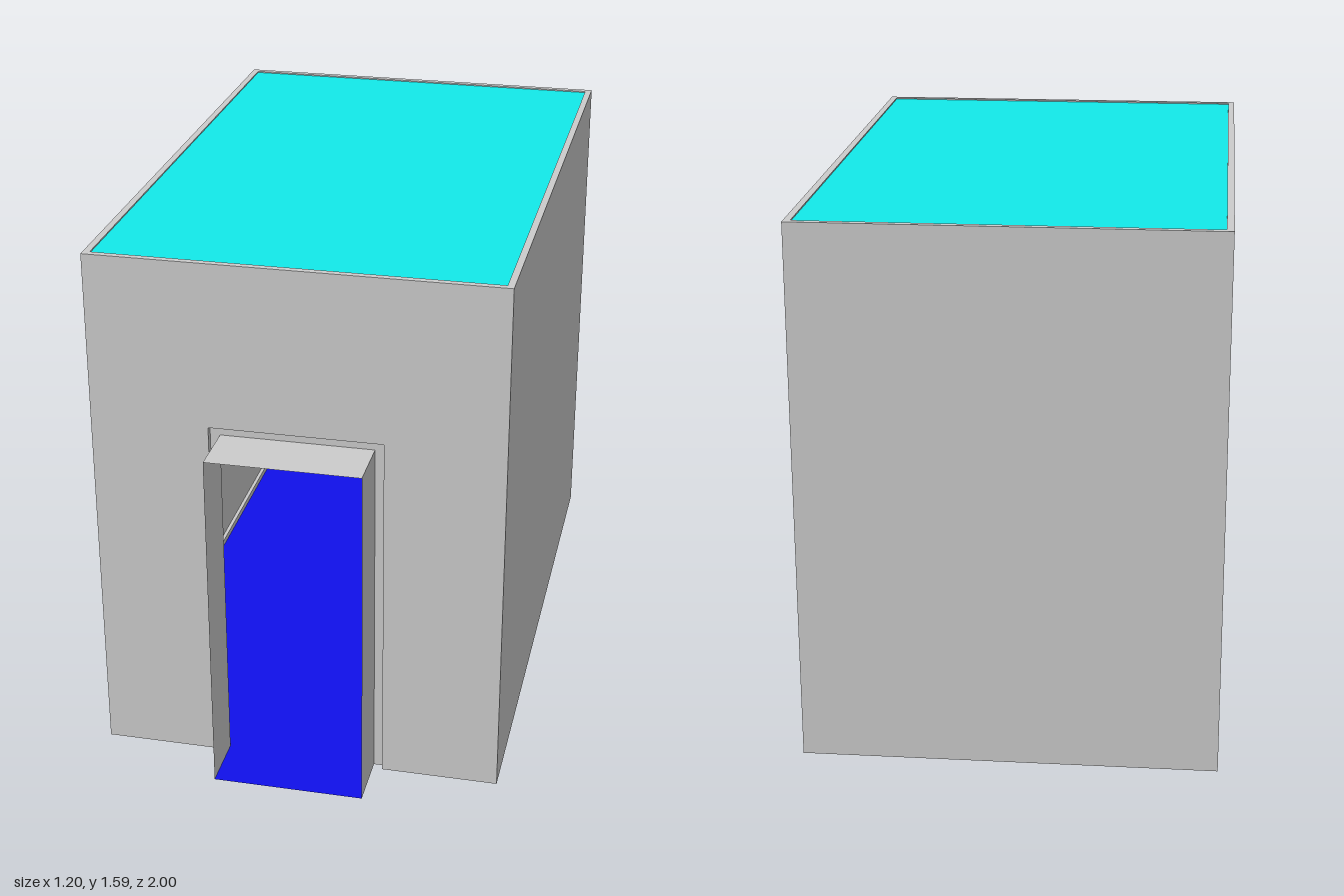
import * as THREE from 'three';

const W = 0.6, H = 1.585, BACK = -1, FRONT = 0.845, T = 0.02; // outer shell and lip thickness
const DOOR = 0.224, DOOR_TOP = 1.06, GAP = 0.029, PORCH = 1;  // doorway and its reveal

const grey = new THREE.MeshStandardMaterial({ color: 0xcccccc, side: THREE.DoubleSide });
const blue = new THREE.MeshStandardMaterial({ color: 0x1010ea, side: THREE.DoubleSide });
const cyan = new THREE.MeshStandardMaterial({ color: 0x12eaea, side: THREE.DoubleSide });

function polygon(points) {
  return new THREE.Shape(points.map(([x, y]) => new THREE.Vector2(x, y)));
}

// Upside-down U around a doorway, as an outline standing on y = 0
function arch(outW, outH, inW, inH) {
  return polygon([
    [-outW, 0], [-inW, 0], [-inW, inH], [inW, inH],
    [inW, 0], [outW, 0], [outW, outH], [-outW, outH],
  ]);
}

export function createModel() {
  const model = new THREE.Group();
  const add = (name, geometry, material = grey) => {
    const mesh = new THREE.Mesh(geometry, material);
    mesh.name = name;
    model.add(mesh);
    return mesh;
  };
  const box = (name, w, h, d, x, y, z) =>
    add(name, new THREE.BoxGeometry(w, h, d)).position.set(x, y, z);

  const sheet = 0.008, depth = FRONT - BACK, midZ = (FRONT + BACK) / 2;

  // Thin side and back walls, with a lip along the floor and the ceiling
  for (const s of [-1, 1]) {
    box(s > 0 ? 'leftWall' : 'rightWall', sheet, H, depth - T, s * (W - sheet / 2), H / 2, midZ - T / 2);
    for (const y of [T / 2, H - T / 2]) {
      box('sideLip', T - sheet, T, depth - T, s * (W - sheet - (T - sheet) / 2), y, midZ - T / 2);
    }
  }
  box('backWall', 2 * (W - sheet), H, sheet, 0, H / 2, BACK + sheet / 2);
  for (const y of [T / 2, H - T / 2]) {
    box('backLip', 2 * (W - T), T, T - sheet, 0, y, BACK + sheet + (T - sheet) / 2);
  }

  // Front wall with the wide door opening
  const front = new THREE.ExtrudeGeometry(
    arch(W, H, DOOR + GAP, DOOR_TOP + GAP), { depth: T, bevelEnabled: false });
  add('frontWall', front).position.z = FRONT - T;

  // Recessed surround between the opening and the entrance passage
  add('doorSurround', new THREE.ShapeGeometry(
    arch(DOOR + GAP, DOOR_TOP + GAP, DOOR, DOOR_TOP))).position.z = FRONT - T;

  // Entrance passage: two thin sides and a top
  const run = PORCH - (FRONT - T), passZ = (PORCH + FRONT - T) / 2;
  for (const s of [-1, 1]) {
    const side = add('passageSide', new THREE.PlaneGeometry(run, DOOR_TOP));
    side.rotation.y = s * Math.PI / 2;
    side.position.set(s * DOOR, DOOR_TOP / 2, passZ);
  }
  const top = add('passageTop', new THREE.PlaneGeometry(2 * DOOR, run));
  top.rotation.x = -Math.PI / 2;
  top.position.set(0, DOOR_TOP, passZ);

  // Floor reaching out through the passage (shape y becomes -z)
  const iw = W - T, iz = FRONT - T;
  const floor = add('floor', new THREE.ShapeGeometry(polygon([
    [-iw, -iz], [-DOOR, -iz], [-DOOR, -PORCH], [DOOR, -PORCH],
    [DOOR, -iz], [iw, -iz], [iw, -BACK - T], [-iw, -BACK - T],
  ])), blue);
  floor.rotation.x = -Math.PI / 2;

  // Ceiling set just below the rim
  const ceiling = add('ceiling', new THREE.PlaneGeometry(2 * iw, depth - 2 * T), cyan);
  ceiling.rotation.x = -Math.PI / 2;
  ceiling.position.set(0, H - 0.004, midZ);

  return model;
}
